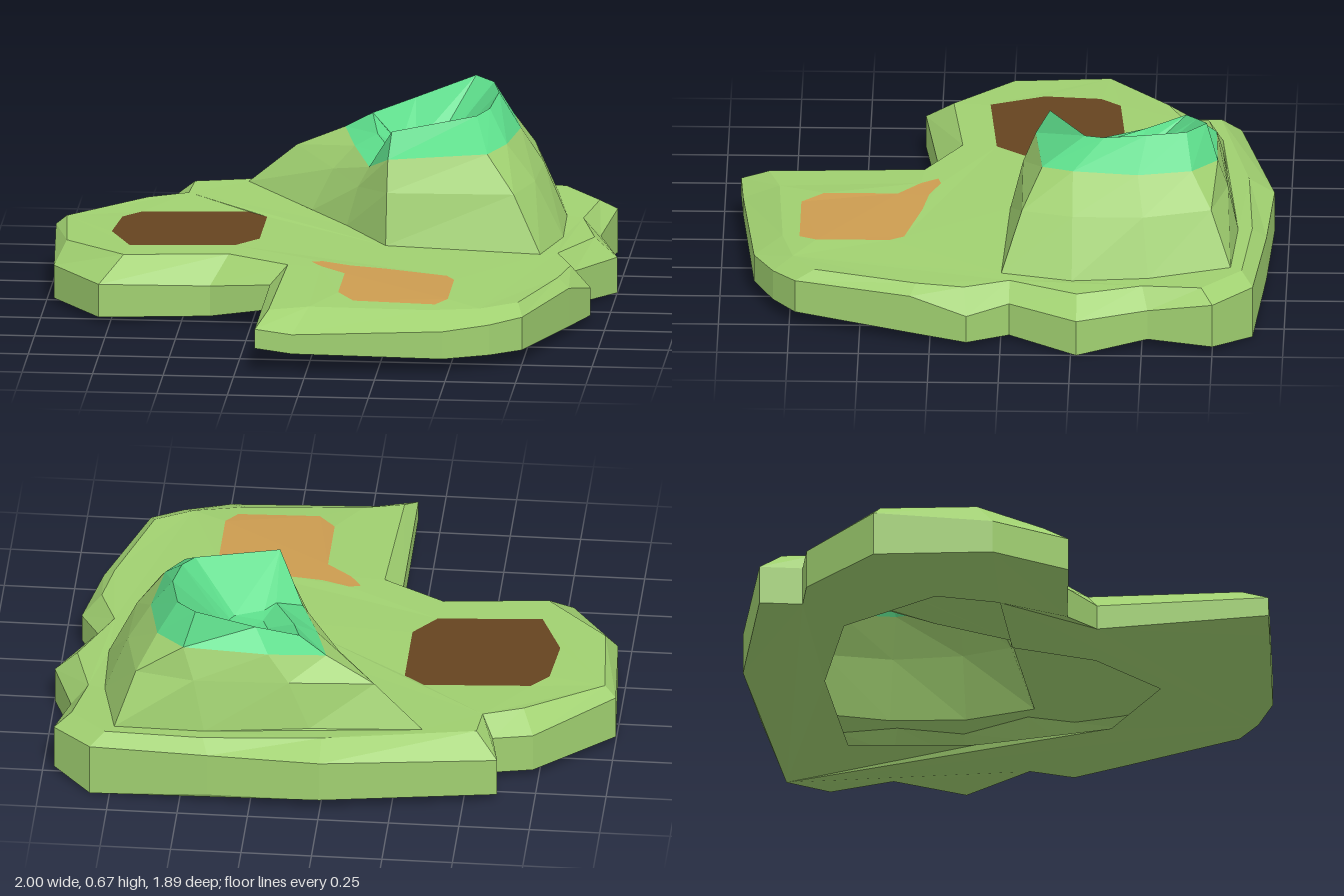
import * as THREE from 'three';

const paint = (color) => new THREE.MeshStandardMaterial({ color, flatShading: true, side: THREE.DoubleSide });

function makeMesh(name, positions, index, material) {
  const geometry = new THREE.BufferGeometry();
  geometry.setAttribute('position', new THREE.Float32BufferAttribute(positions.flat(), 3));
  geometry.setIndex(index);
  geometry.computeVertexNormals();
  const mesh = new THREE.Mesh(geometry, material);
  mesh.name = name;
  return mesh;
}

// Skin between closed rings of equal length, ordered clockwise seen from above
function loft(name, rings, material) {
  const n = rings[0].length, index = [];
  for (let r = 0; r < rings.length - 1; r++) {
    for (let i = 0; i < n; i++) {
      const j = (i + 1) % n, a = r * n + i, b = r * n + j;
      index.push(a, a + n, b, b, a + n, b + n);
    }
  }
  return makeMesh(name, rings.flat(), index, material);
}

// Near-level sheet inside an outline, with holes; facing up or down
function sheet(name, outline, holes, material, up = true) {
  const flat = (ring) => ring.map((p) => new THREE.Vector2(p[0], p[2]));
  const points = [outline, ...holes].flat();
  const index = [];
  for (const [a, b, c] of THREE.ShapeUtils.triangulateShape(flat(outline), holes.map(flat))) {
    const [p, q, s] = [points[a], points[b], points[c]];
    const facesUp = (q[2] - p[2]) * (s[0] - p[0]) - (q[0] - p[0]) * (s[2] - p[2]) > 0;
    if (facesUp === up) index.push(a, b, c);
    else index.push(a, c, b);
  }
  return makeMesh(name, points, index, material);
}

// Gentle height of the ground
const ground = (x, z) =>
  0.225 - 0.025 * Math.max(0, x) - 0.1 * Math.max(0, z - 0.65)
  + 0.06 * Math.max(0, -z - 0.4) - 0.04 * Math.max(0, -x - 0.75);
const onGround = ([x, z]) => [x, ground(x, z), z];

// Coast: x, z, low edge height, shoulder height, then x, z of the top edge
const coast = [
  [-0.62, -0.82, 0.03, 0.17, -0.54, -0.75],
  [0, -0.95, 0.05, 0.2, 0, -0.86],
  [0.4, -0.93, 0.04, 0.2, 0.42, -0.88],
  [0.82, -0.89, 0, 0.19, 0.77, -0.85],
  [0.96, -0.75, 0.02, 0.18, 0.9, -0.71],
  [0.92, -0.52, 0.03, 0.14, 0.86, -0.5],
  [1, -0.27, 0, 0.13, 0.92, -0.27],
  [0.87, -0.03, 0.02, 0.14, 0.81, -0.03],
  [0.94, 0.12, 0.02, 0.12, 0.87, 0.13],
  [0.88, 0.32, 0.03, 0.17, 0.84, 0.3],
  [0.75, 0.73, 0.05, 0.17, 0.73, 0.66],
  [0.64, 0.81, 0.05, 0.16, 0.6, 0.74],
  [0.48, 0.88, 0.05, 0.15, 0.42, 0.78],
  [-0.05, 0.93, 0.07, 0.14, 0, 0.8],
  [-0.18, 0.94, 0.09, 0.16, -0.14, 0.84],
  [-0.18, 0.33, 0.07, 0.16, -0.12, 0.29],
  [-0.4, 0.25, 0.02, 0.13, -0.34, 0.16],
  [-0.79, 0.3, 0.02, 0.14, -0.71, 0.2],
  [-0.97, 0.05, 0.02, 0.14, -0.93, -0.01],
  [-1, -0.37, 0.02, 0.18, -0.96, -0.35],
  [-0.73, -0.64, 0.03, 0.17, -0.69, -0.56],
  [-0.59, -0.67, 0.03, 0.17, -0.55, -0.62],
];

// Opening in the underside
const opening = [
  [-0.35, -0.55], [0.1, -0.67], [0.64, -0.65], [0.69, -0.2], [0.61, 0.29], [0.3, 0.5],
  [0.04, 0.3], [-0.1, 0.02], [-0.48, 0.02], [-0.56, -0.2],
];

const darkPatch = [
  [-0.7, -0.39], [-0.32, -0.42], [-0.25, -0.36], [-0.25, -0.06], [-0.33, 0.04],
  [-0.7, 0.07], [-0.78, -0.12], [-0.76, -0.32],
];
const sandPatch = [
  [-0.04, 0.24], [0, 0.23], [0.1, 0.27], [0.22, 0.29], [0.45, 0.35], [0.48, 0.4], [0.48, 0.66],
  [0.44, 0.72], [0.15, 0.72], [0.09, 0.64], [0.09, 0.38], [0, 0.3],
];

// Mountain: foot (x, z), colour line (x, y, z), crater rim (x, y, z)
const columns = [
  [-0.35, -0.76, 0, 0.48, -0.67, 0.1, 0.54, -0.64],
  [0.05, -0.79, 0.2, 0.52, -0.75, 0.25, 0.59, -0.68],
  [0.42, -0.83, 0.5, 0.54, -0.76, 0.46, 0.665, -0.72],
  [0.74, -0.81, 0.6, 0.54, -0.67, 0.53, 0.66, -0.65],
  [0.8, -0.52, 0.64, 0.54, -0.48, 0.56, 0.66, -0.51],
  [0.81, -0.25, 0.61, 0.54, -0.25, 0.54, 0.64, -0.36],
  [0.75, 0, 0.55, 0.53, -0.14, 0.5, 0.63, -0.29],
  [0.2, -0.02, 0.2, 0.51, -0.11, 0.21, 0.6, -0.16],
  [0.04, -0.27, 0.12, 0.44, -0.27, 0.21, 0.47, -0.31],
  [-0.1, -0.45, 0.05, 0.46, -0.48, 0.13, 0.5, -0.5],
];

export function createModel() {
  const model = new THREE.Group();
  const grass = paint(0xa0d070), peak = paint(0x5cdc8a);
  const soil = paint(0x664420), sand = paint(0xcc9c50);

  // Island edge
  const low = coast.map(([x, z, y]) => [x, y, z]);
  const shoulder = coast.map(([x, z, , y]) => [x, y, z]);
  const edge = coast.map((c) => onGround([c[4], c[5]]));
  model.add(loft('coastWall', [low, shoulder, edge], grass));

  // Underside rim around an open middle
  const hole = opening.map(([x, z]) => [x, 0.05, z]);
  model.add(sheet('undersideRim', low, [hole], grass, false));

  // Ground with its two coloured patches
  const foot = columns.map(([x, z]) => onGround([x, z]));
  const dark = darkPatch.map(onGround), light = sandPatch.map(onGround);
  model.add(
    sheet('ground', edge, [foot, dark, light], grass),
    sheet('soilPatch', dark, [], soil),
    sheet('sandPatch', light, [], sand),
  );

  // Mountain slopes, bulging slightly halfway up
  const line = columns.map((c) => c.slice(2, 5));
  const rim = columns.map((c) => c.slice(5, 8));
  const middle = foot.map((p, i) => p.map((v, k) => (v + line[i][k]) / 2 + (k === 1 ? 0.035 : 0)));
  model.add(loft('mountainSlopes', [foot, middle, line], grass));

  // Coloured peak and the crater sunk into it
  const floor = rim.map(([x, y, z]) => [
    THREE.MathUtils.lerp(0.27, x, 0.35), Math.min(0.46, y - 0.02), THREE.MathUtils.lerp(-0.45, z, 0.35),
  ]);
  model.add(
    loft('peak', [line, rim], peak),
    loft('craterWall', [rim, floor], peak),
    sheet('craterFloor', floor, [], peak),
  );
  return model;
}
